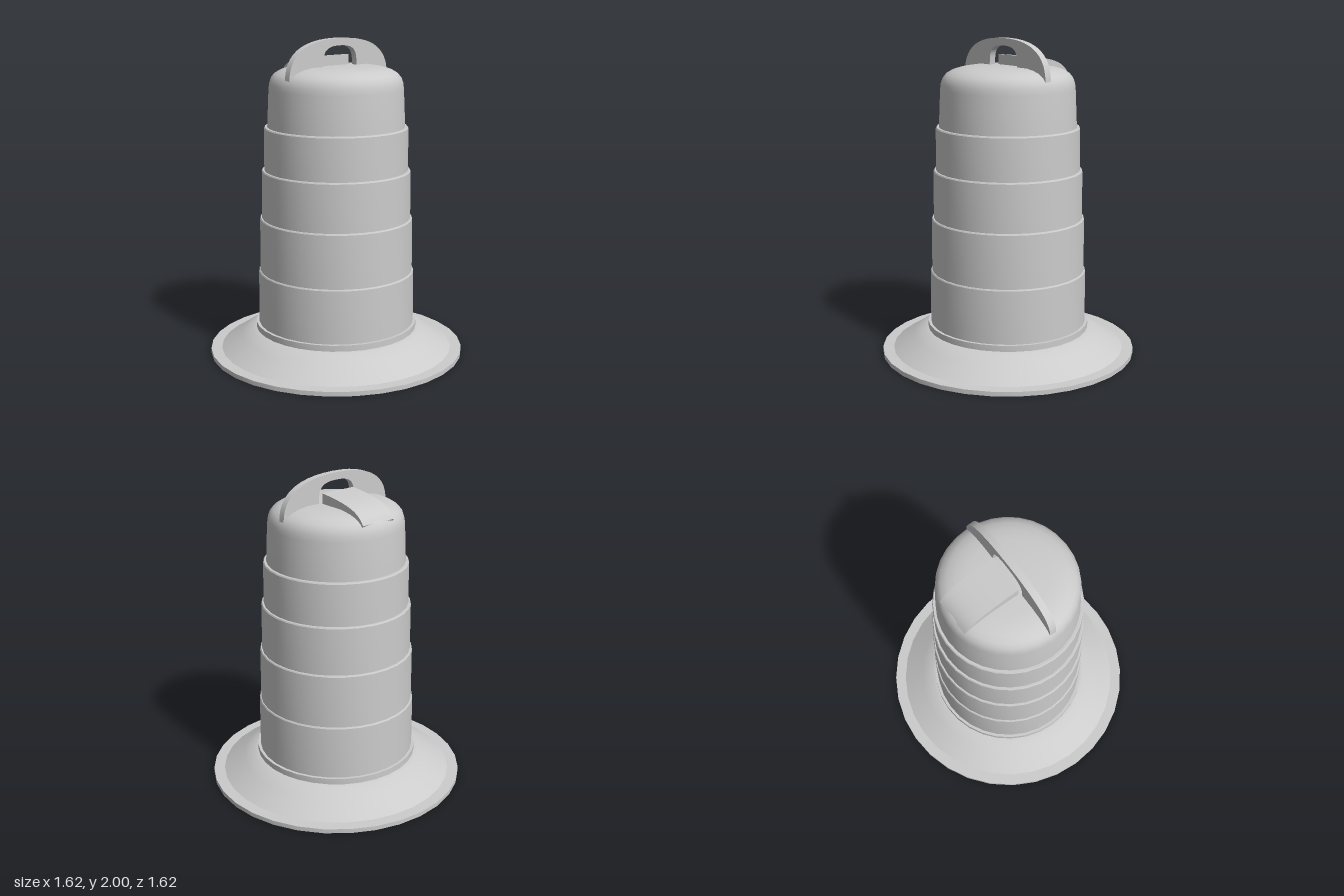
import * as THREE from 'three';
import { toCreasedNormals } from 'three/addons/utils/BufferGeometryUtils.js';

const material = new THREE.MeshStandardMaterial({ color: 0xcccccc });
const SIDES = 32;

function addPart(group, name, geometry, crease = 0.5) {
  const mesh = new THREE.Mesh(toCreasedNormals(geometry, crease), material);
  mesh.name = name;
  group.add(mesh);
  return mesh;
}

// Profile of [radius, height] pairs, listed so the outside faces out
function lathe(profile) {
  return new THREE.LatheGeometry(profile.map(([r, y]) => new THREE.Vector2(r, y)), SIDES);
}

export function createModel() {
  const group = new THREE.Group();

  // Flared base, hollow below, with a thin rim and a collar
  addPart(group, 'base', lathe([
    [0, 0.15], [0.52, 0.15], [0.6, 0.102], [0.68, 0.052], [0.735, 0.018], [0.79, 0], [0.81, 0],
    [0.81, 0.028], [0.74, 0.03], [0.68, 0.067], [0.61, 0.113], [0.54, 0.155], [0.515, 0.16],
    [0.515, 0.198], [0.49, 0.198],
  ]));

  // Stepped bands, each narrower than the one below
  const bands = [
    [0.497, 0.198, 0.54], [0.485, 0.54, 0.88], [0.47, 0.88, 1.185], [0.452, 1.185, 1.455],
  ];
  for (const [r, bottom, top] of bands) {
    addPart(group, 'band', lathe([
      [r, bottom], [r - 0.002, top - 0.008], [r - 0.007, top], [r - 0.04, top],
    ]));
  }

  // Tapered top section with a rounded shoulder
  addPart(group, 'dome', lathe([
    [0.43, 1.455], [0.419, 1.69], [0.415, 1.725], [0.404, 1.757], [0.383, 1.783],
    [0.345, 1.805], [0.295, 1.82], [0.23, 1.83], [0, 1.83],
  ]));

  // Upright handle plate with an arched grip hole
  const plate = new THREE.Shape();
  plate.moveTo(-0.4, 1.76);
  plate.bezierCurveTo(-0.4, 1.9, -0.3, 2, 0, 2);
  plate.bezierCurveTo(0.3, 2, 0.4, 1.9, 0.4, 1.76);
  plate.closePath();
  const grip = new THREE.Path();
  grip.moveTo(-0.137, 1.82);
  grip.lineTo(0.137, 1.82);
  grip.lineTo(0.135, 1.87);
  grip.bezierCurveTo(0.13, 1.94, 0.08, 1.955, 0, 1.955);
  grip.bezierCurveTo(-0.08, 1.955, -0.13, 1.94, -0.135, 1.87);
  grip.closePath();
  plate.holes.push(grip);
  const plateGeometry = new THREE.ExtrudeGeometry(plate, { depth: 0.042, bevelEnabled: false, curveSegments: 12 });
  addPart(group, 'handle', plateGeometry.translate(0, 0, -0.005));

  // Curved ramp behind the handle, drawn from the side and swept across x
  const ramp = new THREE.Shape();
  ramp.moveTo(0.018, 1.78);
  ramp.lineTo(0.375, 1.76);
  ramp.lineTo(0.385, 1.775);
  ramp.bezierCurveTo(0.345, 1.845, 0.26, 1.875, 0.018, 1.893);
  ramp.closePath();
  const rampGeometry = new THREE.ExtrudeGeometry(ramp, { depth: 0.24, bevelEnabled: false, curveSegments: 10 });
  addPart(group, 'ramp', rampGeometry.rotateY(Math.PI / 2).translate(-0.12, 0, 0));

  return group;
}
